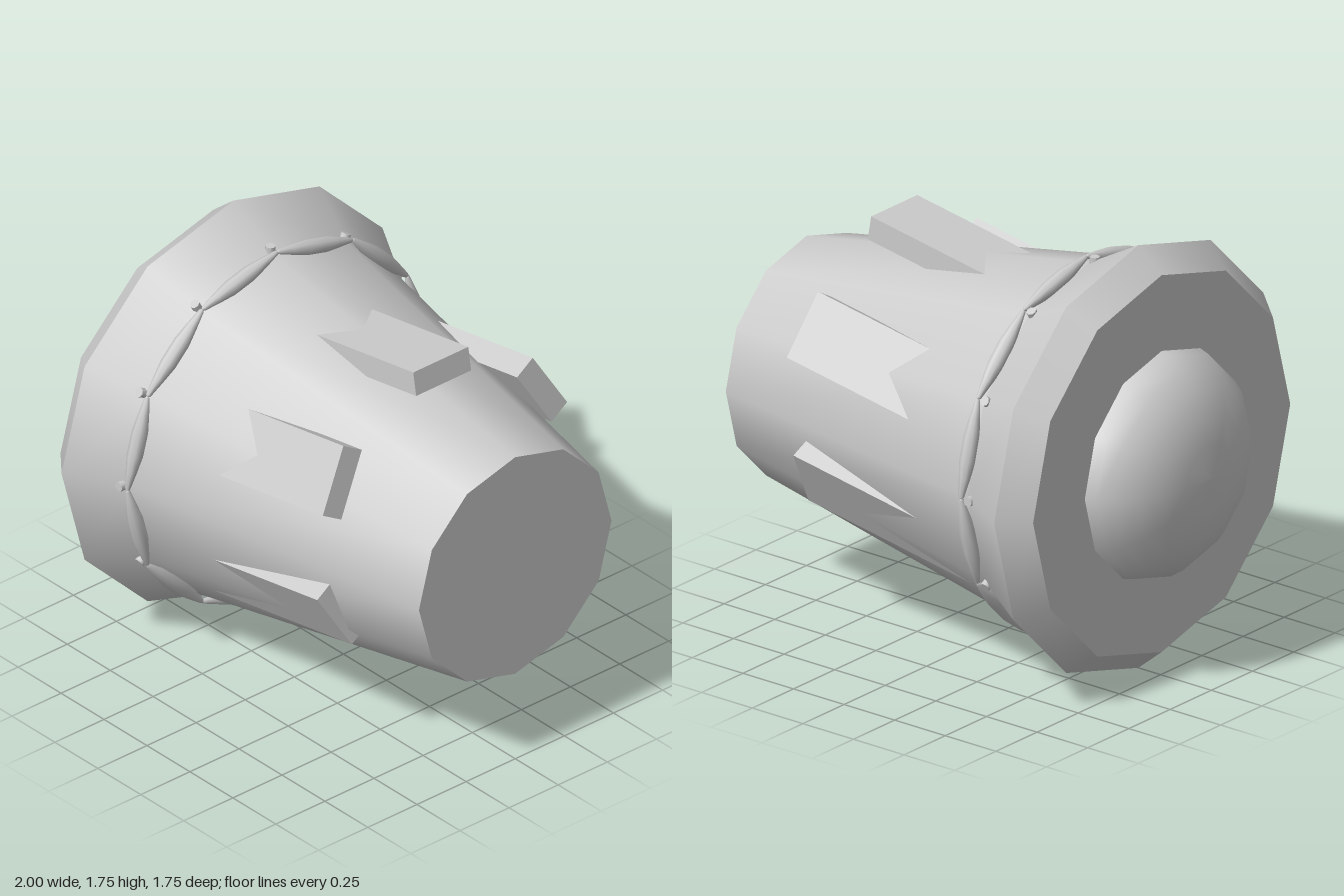
import * as THREE from 'three';

const CY = 0.875; // height of the main axis
const SIDES = 12;

export function createModel() {
  const model = new THREE.Group();
  const mat = new THREE.MeshStandardMaterial({ color: 0xcccccc });

  const add = (name, geometry, parent = model) => {
    const mesh = new THREE.Mesh(geometry, mat);
    mesh.name = name;
    parent.add(mesh);
    return mesh;
  };

  // Turned part around the x axis; points are [x, radius] from back to tip
  const turned = (name, points) => {
    const geo = new THREE.LatheGeometry(points.map(([x, r]) => new THREE.Vector2(r, x)), SIDES);
    geo.rotateZ(-Math.PI / 2);
    add(name, geo).position.y = CY;
  };

  // Body: separate sections keep the edges between them sharp
  turned('rearFace', [[-0.755, 0], [-0.755, 0.78]]);
  turned('flangeRim', [[-0.755, 0.78], [-0.64, 0.875]]);
  turned('flangeSlope', [[-0.64, 0.875], [-0.4, 0.742]]);
  turned('coneBody', [[-0.4, 0.742], [1, 0.49]]);
  turned('tipFace', [[1, 0.49], [1, 0]]);

  // Rounded dome on the rear face
  turned('rearDome', [
    [-1, 0], [-0.99, 0.14], [-0.965, 0.25], [-0.92, 0.345],
    [-0.86, 0.415], [-0.8, 0.455], [-0.75, 0.468],
  ]);

  // Collar of spindle beads with a small peg at each joint
  const bead = new THREE.LatheGeometry([
    [0, -0.2], [0.01, -0.192], [0.022, -0.12], [0.032, -0.05],
    [0.032, 0.05], [0.022, 0.12], [0.01, 0.192], [0, 0.2],
  ].map(([r, y]) => new THREE.Vector2(r, y)), 8).rotateX(Math.PI / 2);
  const peg = new THREE.CylinderGeometry(0.02, 0.02, 0.045, 8);
  const collar = new THREE.Group();
  collar.name = 'collar';
  collar.position.y = CY;
  model.add(collar);
  for (let i = 0; i < SIDES; i++) {
    const spoke = new THREE.Group();
    spoke.name = 'collarJoint';
    spoke.rotation.x = (i / SIDES) * Math.PI * 2;
    add('peg', peg, spoke).position.set(-0.425, 0.75, 0);
    const link = new THREE.Group();
    link.name = 'collarLink';
    link.rotation.x = Math.PI / SIDES;
    add('bead', bead, link).position.set(-0.385, 0.737, 0);
    spoke.add(link);
    collar.add(spoke);
  }

  // Six fins around the cone, all leaning upward by the same tilt
  const fin = new THREE.BoxGeometry(0.95, 0.1, 0.28).translate(-0.475, 0, 0);
  for (let i = 0; i < 6; i++) {
    const a = (i / 6) * Math.PI * 2;
    const holder = new THREE.Group();
    holder.name = 'finHolder';
    holder.position.set(0.575, 0.965 + 0.587 * Math.cos(a), 0.587 * Math.sin(a));
    holder.rotation.z = 0.168;
    add('fin', fin, holder).rotation.x = a;
    model.add(holder);
  }

  return model;
}
